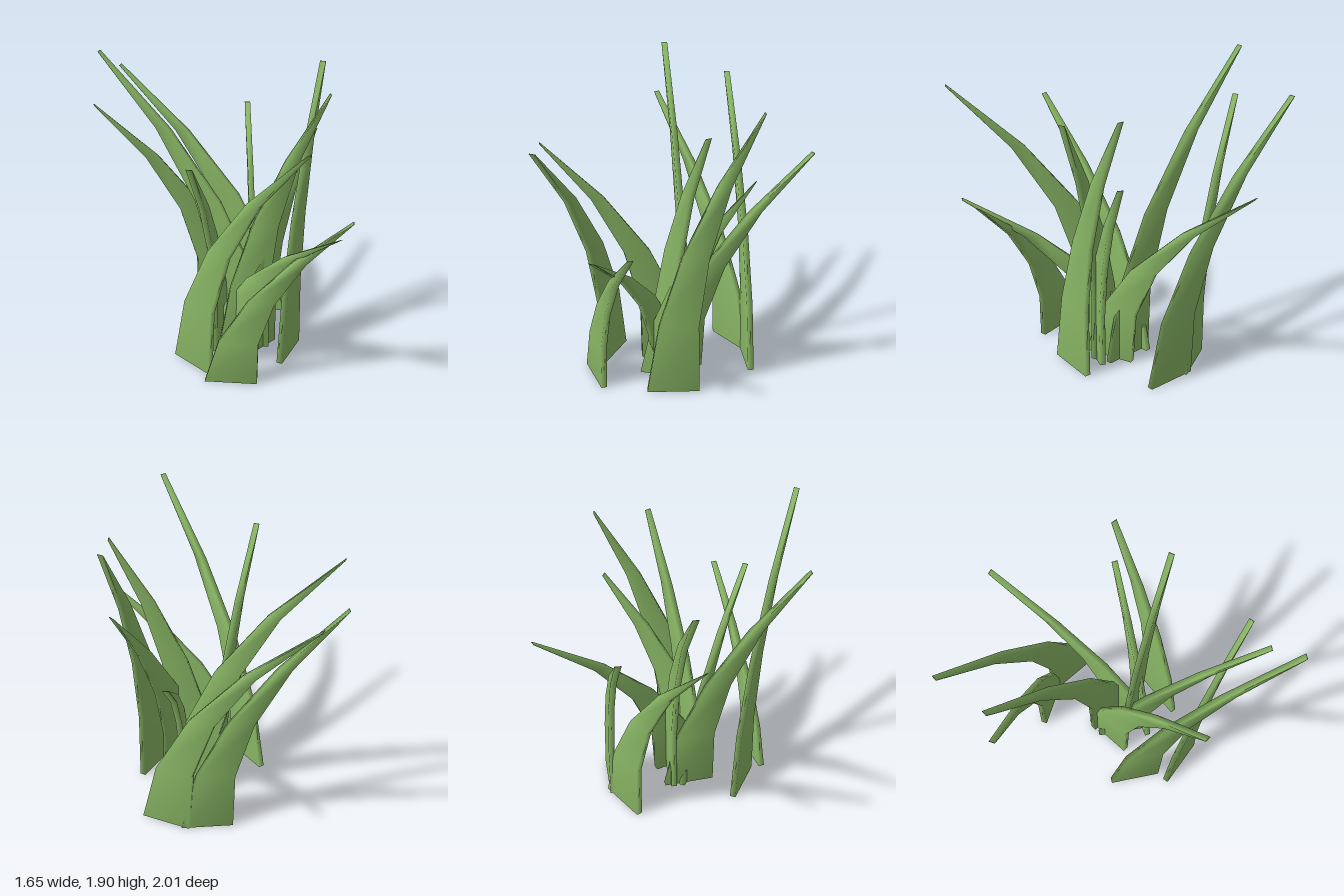
import * as THREE from 'three';

const ROWS = 4, BASE_WIDTH = 0.33, TIP_WIDTH = 0.006, THICKNESS = 0.038;

// One blade: a flat tapering strip that leans along local +x in a parabola.
function bladeGeometry(reach, height) {
  const positions = [], index = [];
  for (let i = 0; i <= ROWS; i++) {
    const t = i / ROWS;
    const half = THREE.MathUtils.lerp(BASE_WIDTH, TIP_WIDTH, t) / 2;
    const centre = BASE_WIDTH / 2 + (reach - BASE_WIDTH / 2) * t * t;
    const h = THICKNESS / 2;
    for (const [sx, sz] of [[-1, 1], [1, 1], [1, -1], [-1, -1]]) {
      positions.push(centre + sx * half, height * t, sz * h);
    }
  }
  for (let i = 0; i < ROWS; i++) {
    for (let k = 0; k < 4; k++) {
      const a = i * 4 + k, b = i * 4 + (k + 1) % 4;
      index.push(a, b, b + 4, a, b + 4, a + 4);
    }
  }
  // base and tip caps
  const top = ROWS * 4;
  index.push(0, 2, 1, 0, 3, 2, top, top + 1, top + 2, top, top + 2, top + 3);

  const geometry = new THREE.BufferGeometry();
  geometry.setAttribute('position', new THREE.Float32BufferAttribute(positions, 3));
  geometry.setIndex(index);
  geometry.computeVertexNormals();
  return geometry;
}

// Each blade: back of base x, z, then tip x, z and height
const BLADES = [
  [0.42, -0.46, -0.70, -0.78, 1.67],
  [0.16, -0.55, -0.82, -0.31, 1.55],
  [0.31, -0.07, -0.78, -0.35, 1.90],
  [0.24, 0.14, 0.15, -1.00, 1.34],
  [0.15, 0.20, 0.60, -0.36, 1.40],
  [0.40, 0.26, 0.64, -0.39, 1.84],
  [0.00, 0.07, 0.68, -0.01, 1.75],
  [-0.02, -0.10, 0.73, 0.73, 1.12],
  [0.04, -0.20, -0.14, 0.74, 1.55],
  [-0.07, 0.48, 0.82, 0.53, 1.14],
  [-0.27, 0.16, 0.53, 0.99, 1.75],
];

export function createModel() {
  const group = new THREE.Group();
  group.name = 'grassTuft';
  const green = new THREE.MeshStandardMaterial({ color: 0x8ab866 });
  BLADES.forEach(([x, z, tipX, tipZ, height], i) => {
    const dx = tipX - x, dz = tipZ - z;
    const blade = new THREE.Mesh(bladeGeometry(Math.hypot(dx, dz), height), green);
    blade.name = `grassBlade${i + 1}`;
    blade.position.set(x, 0, z);
    blade.rotation.y = Math.atan2(-dz, dx);
    group.add(blade);
  });
  return group;
}
